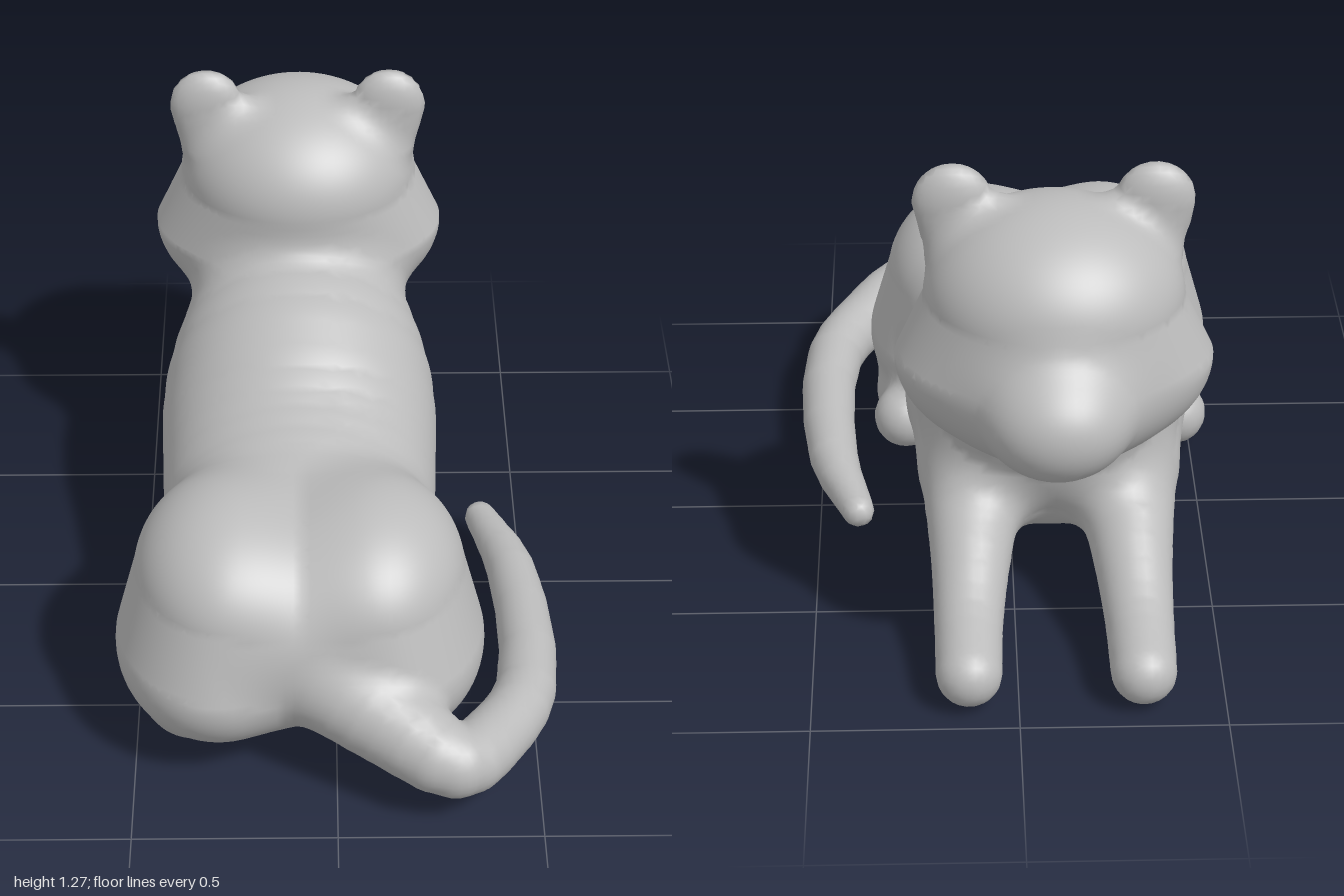
import * as THREE from 'three';

const MID = -0.09;  // x of the animal's plane of symmetry
const CELL = 0.021; // size of the skin's faces
const MIN = new THREE.Vector3(-0.64, -0.07, -1.08);
const MAX = new THREE.Vector3(0.64, 1.35, 1.08);

const grey = new THREE.MeshStandardMaterial({ color: 0xbcbcbc });
grey.name = 'plain grey';

// A fleshy limb: ovals [x, y, z, rx, ry, rz] strung along a smooth path.
// "blend" is how softly it melts into the limbs made before it.
function limb(name, blend, ...keys) {
  const path = new THREE.CatmullRomCurve3(keys.map(k => new THREE.Vector3(k[0], k[1], k[2])));
  const size = new THREE.CatmullRomCurve3(keys.map(k => new THREE.Vector3(k[3], k[4] ?? k[3], k[5] ?? k[3])), false, 'catmullrom');
  const n = keys.length > 2 ? (keys.length - 1) * 3 : 1;
  const segments = [];
  for (let i = 0; i < n; i++) {
    const a = path.getPoint(i / n), b = path.getPoint((i + 1) / n);
    const ra = size.getPoint(i / n), rb = size.getPoint((i + 1) / n);
    const d = b.clone().sub(a), dr = rb.clone().sub(ra);
    const mid = ra.clone().add(rb).multiplyScalar(0.5);
    const w = d.clone().divide(mid).divide(mid);
    w.divideScalar(w.dot(d));
    segments.push({ a, d, ra, dr, w });
  }
  return { name, blend, segments };
}

// The same limb on both sides; x is given as distance from the middle
function pair(name, blend, ...keys) {
  return ['right', 'left'].map((label, i) =>
    limb(label + name, blend, ...keys.map(([x, ...rest]) => [MID + (i ? x : -x), ...rest])));
}

// Signed distance from a point to one limb
function limbDistance(part, x, y, z) {
  let best = Infinity;
  for (const { a, d, ra, dr, w } of part.segments) {
    const px = x - a.x, py = y - a.y, pz = z - a.z;
    const t = Math.min(1, Math.max(0, px * w.x + py * w.y + pz * w.z));
    const rx = ra.x + dr.x * t, ry = ra.y + dr.y * t, rz = ra.z + dr.z * t;
    const qx = (px - d.x * t) / rx, qy = (py - d.y * t) / ry, qz = (pz - d.z * t) / rz;
    const k0 = Math.sqrt(qx * qx + qy * qy + qz * qz);
    const k1 = Math.sqrt((qx / rx) ** 2 + (qy / ry) ** 2 + (qz / rz) ** 2) + 1e-6;
    best = Math.min(best, k0 * (k0 - 1) / k1);
  }
  return best;
}

// Signed distance to all limbs melted together
function field(parts, x, y, z) {
  let d = 10;
  for (const part of parts) {
    const e = limbDistance(part, x, y, z);
    const h = Math.max(part.blend - Math.abs(d - e), 0);
    d = Math.min(d, e) - h * h / (4 * part.blend);
  }
  return d;
}

// Outward direction of the melted surface
function outward(parts, p, e = 0.004) {
  const slope = (x, y, z) => field(parts, p.x + x, p.y + y, p.z + z) - field(parts, p.x - x, p.y - y, p.z - z);
  return new THREE.Vector3(slope(e, 0, 0), slope(0, e, 0), slope(0, 0, e)).normalize();
}

// Wrap one smooth skin round the limbs, cut into a mesh for each limb
function skin(parts, group) {
  const n = MAX.clone().sub(MIN).divideScalar(CELL).ceil().addScalar(1).toArray();
  const step = [1, n[0], n[0] * n[1]];
  const value = new Float32Array(n[0] * n[1] * n[2]);
  const eachNode = visit => {
    for (let k = 0, id = 0; k < n[2]; k++)
      for (let j = 0; j < n[1]; j++)
        for (let i = 0; i < n[0]; i++, id++) visit([i, j, k], id);
  };
  eachNode((g, id) => {
    value[id] = field(parts, MIN.x + g[0] * CELL, MIN.y + g[1] * CELL, MIN.z + g[2] * CELL);
  });

  // One vertex in every cell the surface crosses, drawn onto the surface
  const cellVertex = new Map(), positions = [], normals = [], owner = [];
  eachNode((g, id) => {
    if (g.some((c, i) => c >= n[i] - 1)) return;
    const p = new THREE.Vector3();
    let hits = 0;
    for (let c = 0; c < 8; c++) {
      const from = [c & 1, (c >> 1) & 1, c >> 2];
      const corner = id + from[0] * step[0] + from[1] * step[1] + from[2] * step[2];
      for (let axis = 0; axis < 3; axis++) {
        if (from[axis]) continue;
        const a = value[corner], b = value[corner + step[axis]];
        if ((a < 0) === (b < 0)) continue;
        const q = g.map((v, i) => v + from[i]);
        q[axis] += a / (a - b);
        p.add(new THREE.Vector3(...q));
        hits++;
      }
    }
    if (!hits) return;
    p.multiplyScalar(CELL / hits).add(MIN);
    p.addScaledVector(outward(parts, p), -field(parts, p.x, p.y, p.z));
    cellVertex.set(id, owner.length);
    positions.push(p.x, p.y, p.z);
    normals.push(...outward(parts, p));
    const dist = parts.map(part => limbDistance(part, p.x, p.y, p.z));
    owner.push(dist.indexOf(Math.min(...dist)));
  });

  // One quad round every grid edge the surface crosses
  const faces = parts.map(() => []);
  eachNode((g, id) => {
    for (let axis = 0; axis < 3; axis++) {
      const u = step[(axis + 1) % 3], v = step[(axis + 2) % 3];
      if (g[axis] >= n[axis] - 1 || (value[id] < 0) === (value[id + step[axis]] < 0)) continue;
      const q = [id, id - u, id - u - v, id - v].map(c => cellVertex.get(c));
      if (value[id] >= 0) q.reverse();
      faces[owner[q[0]]].push(q[0], q[1], q[2], q[0], q[2], q[3]);
    }
  });

  parts.forEach((part, i) => {
    const geo = new THREE.BufferGeometry();
    geo.setAttribute('position', new THREE.Float32BufferAttribute(positions, 3));
    geo.setAttribute('normal', new THREE.Float32BufferAttribute(normals, 3));
    geo.setIndex(faces[i]);
    const mesh = new THREE.Mesh(geo.toNonIndexed(), grey);
    mesh.name = part.name;
    group.add(mesh);
  });
}

export function createModel() {
  const model = new THREE.Group();
  model.name = 'lyingAnimal';

  // Haunches come first, so a crease stays between them
  const haunches = pair('Haunch', 0.02,
    [0.17, 0.43, 0.5, 0.24, 0.23, 0.3],
    [0.2, 0.25, 0.52, 0.26, 0.22, 0.33]);

  // Trunk from rump through chest and neck into the head
  const torso = limb('torso', 0.07,
    [MID, 0.33, 0.52, 0.3, 0.28, 0.3],
    [MID, 0.355, 0.25, 0.34, 0.285, 0.3],
    [MID, 0.395, 0, 0.355, 0.315, 0.3],
    [MID, 0.465, -0.2, 0.355, 0.355, 0.3],
    [MID, 0.615, -0.37, 0.29, 0.25, 0.23],
    [MID, 0.76, -0.53, 0.24, 0.2, 0.2]);

  // Head, narrower at the crown and full in the cheeks
  const head = limb('head', 0.06,
    [MID, 0.95, -0.58, 0.31, 0.24, 0.29],
    [MID, 0.8, -0.585, 0.38, 0.25, 0.29]);
  const muzzle = limb('muzzle', 0.1,
    [MID, 0.775, -0.77, 0.2, 0.16, 0.16],
    [MID, 0.765, -0.86, 0.165, 0.14, 0.14]);
  const ears = pair('Ear', 0.05,
    [0.18, 1.08, -0.53, 0.14, 0.08, 0.06],
    [0.238, 1.17, -0.53, 0.095, 0.097, 0.046]);

  const forelegs = pair('Foreleg', 0.1,
    [0.19, 0.3, -0.36, 0.13],
    [0.2, 0.21, -0.57, 0.1],
    [0.208, 0.13, -0.73, 0.085],
    [0.21, 0.09, -0.9, 0.08]);

  // Folded shank on the ground, then the foot pointing forward and out
  const shanks = pair('Shank', 0.05,
    [0.28, 0.12, 0.62, 0.09],
    [0.36, 0.105, 0.42, 0.085]);
  const hindFeet = pair('HindFoot', 0.05,
    [0.18, 0.09, 0.4, 0.09],
    [0.365, 0.115, 0.27, 0.085]);

  // Tail curling forward along the left side
  const tail = limb('tail', 0.035,
    [-0.01, 0.27, 0.72, 0.135],
    [0.13, 0.215, 0.815, 0.115],
    [0.285, 0.16, 0.907, 0.09],
    [0.385, 0.135, 0.79, 0.082],
    [0.475, 0.12, 0.59, 0.076],
    [0.467, 0.1, 0.08, 0.064],
    [0.398, 0.09, -0.17, 0.042]);

  skin([...haunches, torso, head, muzzle, ...ears, ...forelegs, ...shanks, ...hindFeet, tail], model);
  return model;
}
